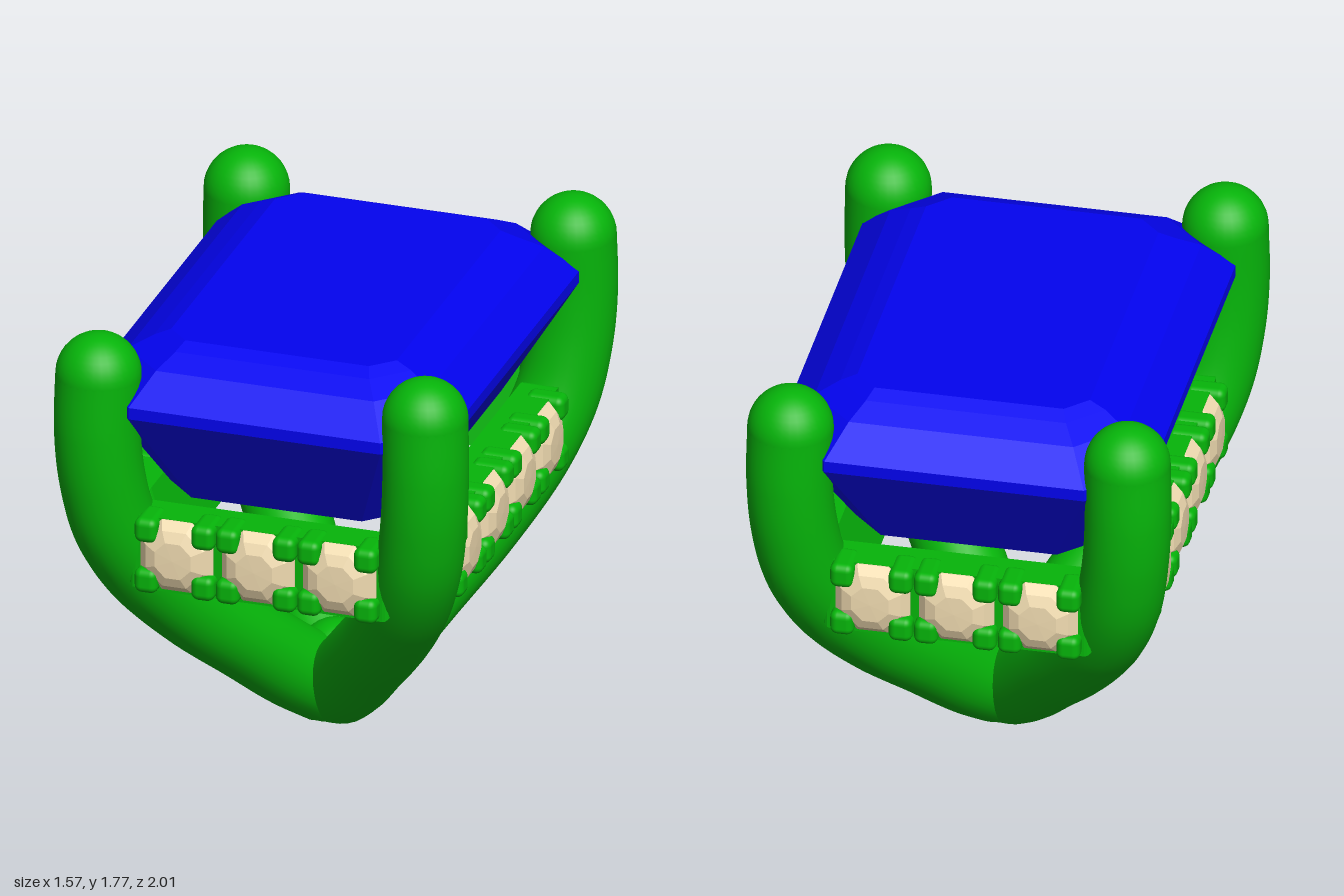
import * as THREE from 'three';
import { RoundedBoxGeometry } from 'three/addons/geometries/RoundedBoxGeometry.js';

const metal = new THREE.MeshStandardMaterial({ color: 0x06b50a });
const blue = new THREE.MeshStandardMaterial({ color: 0x0303f0, flatShading: true });
const pale = new THREE.MeshStandardMaterial({ color: 0xf2ddb2, flatShading: true });

function add(parent, name, geometry, material, x = 0, y = 0, z = 0) {
  const mesh = new THREE.Mesh(geometry, material);
  mesh.name = name;
  mesh.position.set(x, y, z);
  parent.add(mesh);
  return mesh;
}

// Solid from stacked cut-corner rectangles: [y, halfX, halfZ, cornerCut], bottom to top
function stepCut(levels) {
  const rings = levels.map(([y, x, z, c]) => [
    [x, -z + c], [x, z - c], [x - c, z], [-x + c, z],
    [-x, z - c], [-x, -z + c], [-x + c, -z], [x - c, -z],
  ].map(([px, pz]) => [px, y, pz]));
  const v = [];
  const tri = (a, b, c) => v.push(...a, ...b, ...c);
  const top = rings[rings.length - 1], bottom = rings[0];
  const n = 8;
  for (let i = 0; i < n; i++) {
    const j = (i + 1) % n;
    for (let k = 0; k < rings.length - 1; k++) {
      const a = rings[k], b = rings[k + 1];
      tri(a[i], b[i], a[j]);
      tri(a[j], b[i], b[j]);
    }
    tri([0, top[0][1], 0], top[j], top[i]);
    tri([0, bottom[0][1], 0], bottom[i], bottom[j]);
  }
  const g = new THREE.BufferGeometry();
  g.setAttribute('position', new THREE.Float32BufferAttribute(v, 3));
  g.computeVertexNormals();
  return g;
}

// One side of the gallery, facing +z with its outer plane at z = 0
function makeRail(count, length) {
  const rail = new THREE.Group();
  // Bar: softened cross-section, wider at the bottom of its inner side
  const b = 0.03;
  const section = new THREE.Shape([
    [-0.05 - b, -0.15 + b], [-0.05 - b, 0.14 - b], [-0.2 + b, 0.14 - b], [-0.27 + b, -0.15 + b],
  ].map(([z, y]) => new THREE.Vector2(z, y)));
  const bar = new THREE.ExtrudeGeometry(section, {
    depth: length - 2 * b, bevelSize: b, bevelThickness: b, bevelSegments: 4,
  }).translate(0, 0, b - length / 2).rotateY(-Math.PI / 2);
  add(rail, 'railBar', bar, metal);

  const stone = new THREE.LatheGeometry([
    [0, -0.12], [0.15, -0.06], [0.15, -0.045], [0.118, -0.012], [0.075, 0.006], [0, 0.008],
  ].map(([r, h]) => new THREE.Vector2(r, h)), 8).rotateX(Math.PI / 2).rotateZ(Math.PI / 8);
  const claw = new RoundedBoxGeometry(0.088, 0.095, 0.15, 4, 0.028);
  for (let i = 0; i < count; i++) {
    const x = (i - (count - 1) / 2) * 0.31;
    add(rail, 'smallStone', stone, pale, x, 0, 0);
    for (const sx of [-1, 1]) for (const sy of [-1, 1]) {
      add(rail, 'claw', claw, metal, x + sx * 0.108, sy * 0.1, -0.07);
    }
  }
  return rail;
}

export function createModel() {
  const model = new THREE.Group();
  model.name = 'gemSetting';

  // Four curved prongs rising from a shared base; [fraction outward, height]
  const path = [[0, 0.1], [0.18, 0.225], [0.37, 0.385], [0.6, 0.58], [0.81, 0.8],
    [0.93, 1.0], [0.985, 1.2], [1.005, 1.4], [1, 1.615]];
  const cornerX = 0.623, cornerZ = 0.843, radius = 0.157;
  for (const sx of [-1, 1]) for (const sz of [-1, 1]) {
    const prong = new THREE.Group();
    prong.name = 'prong';
    const curve = new THREE.CatmullRomCurve3(
      path.map(([t, y]) => new THREE.Vector3(sx * t * cornerX, y, sz * t * cornerZ)));
    const stem = new THREE.TubeGeometry(curve, 64, radius, 32);
    // Cut the foot flat at ground level
    const p = stem.attributes.position;
    for (let i = 0; i < p.count; i++) p.setY(i, Math.max(0, p.getY(i)));
    add(prong, 'prongStem', stem, metal);
    add(prong, 'prongTip', new THREE.SphereGeometry(radius, 32, 20), metal,
      sx * cornerX, 1.615, sz * cornerZ);
    model.add(prong);
  }

  // Core that fills the meeting point of the prongs
  add(model, 'baseFoot', new THREE.CylinderGeometry(0.13, 0.115, 0.16, 32), metal, 0, 0.08, 0);
  add(model, 'baseCore', new THREE.SphereGeometry(0.14, 32, 20), metal, 0, 0.215, 0);

  // Gallery rails with small stones on all four sides
  for (const s of [0, 1]) {
    const short = makeRail(3, 1.0);
    short.name = s ? 'backRail' : 'frontRail';
    short.rotation.y = s * Math.PI;
    short.position.set(0, 0.95, s ? -0.93 : 0.93);
    const long = makeRail(4, 1.34);
    long.name = s ? 'rightRail' : 'leftRail';
    long.rotation.y = s ? -Math.PI / 2 : Math.PI / 2;
    long.position.set(s ? -0.682 : 0.682, 0.95, 0);
    model.add(short, long);
  }

  // Large step-cut centre stone
  add(model, 'centreStone', stepCut([
    [1.09, 0.445, 0.675, 0.12],
    [1.49, 0.69, 0.93, 0.21],
    [1.535, 0.69, 0.93, 0.21],
    [1.64, 0.575, 0.81, 0.16],
    [1.685, 0.49, 0.725, 0.12],
    [1.71, 0.43, 0.67, 0.08],
  ]), blue);

  return model;
}
